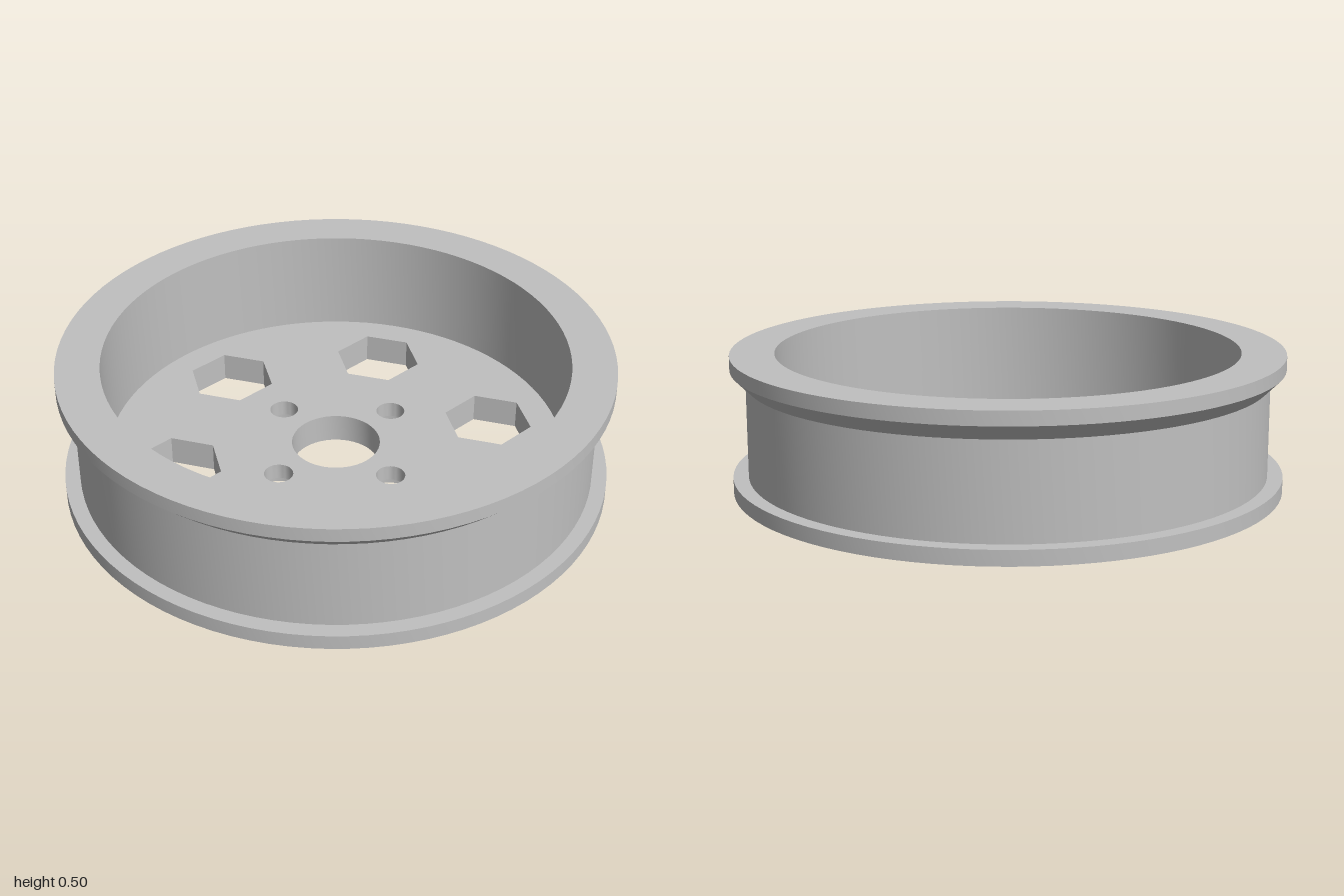
import * as THREE from 'three';
import { toCreasedNormals } from 'three/addons/utils/BufferGeometryUtils.js';

const FLOOR = 0.11;    // thickness of the web
const RECESS = 0.05;   // depth of the bolt counterbores
const SEGMENTS = 96;

export function createModel() {
  const wheel = new THREE.Group();
  wheel.name = 'wheel';
  const metal = new THREE.MeshStandardMaterial({ color: 0xc0c0c0 });
  metal.name = 'grey metal';

  const add = (name, geometry, x = 0, z = 0) => {
    const mesh = new THREE.Mesh(geometry, metal);
    mesh.name = name;
    mesh.position.set(x, 0, z);
    wheel.add(mesh);
  };

  // Revolved surface with crisp profile edges
  const revolve = (profile, segments, start = 0) => toCreasedNormals(
    new THREE.LatheGeometry(profile.map(p => new THREE.Vector2(...p)), segments, start), 0.5);

  // Points of a regular polygon, the first one on the x axis
  const ring = (radius, sides, cx = 0, cy = 0) => Array.from({ length: sides }, (_, i) => {
    const a = (i / sides) * Math.PI * 2;
    return new THREE.Vector2(cx + radius * Math.cos(a), cy + radius * Math.sin(a));
  });

  // Hole layout: central bore, four bolts, six hexagons
  const holes = [{
    name: 'centreBore', x: 0, z: 0, sides: 48, top: 0.163, bottom: 0.163,
    profile: [[0.163, FLOOR], [0.163, 0]],
  }];
  for (let i = 0; i < 4; i++) {
    const a = (i * Math.PI) / 2;
    holes.push({
      name: 'boltHole', x: 0.286 * Math.cos(a), z: 0.286 * Math.sin(a), sides: 32, top: 0.053, bottom: 0.1,
      profile: [[0.053, FLOOR], [0.053, RECESS], [0.1, RECESS], [0.1, 0]],
    });
  }
  for (let i = 0; i < 6; i++) {
    const a = Math.PI / 6 + (i * Math.PI) / 3;
    holes.push({
      name: 'hexagonHole', x: 0.59 * Math.cos(a), z: 0.59 * Math.sin(a), sides: 6, top: 0.164, bottom: 0.164,
      profile: [[0.164, FLOOR], [0.164, 0]],
    });
  }

  // Outer rim: bottom flange, drum, flared top flange and inner wall
  add('rim', revolve([
    [1, 0], [1, 0.055], [0.945, 0.055], [0.945, 0.395],
    [1, 0.45], [1, 0.5], [0.84, 0.5], [0.84, FLOOR],
  ], SEGMENTS));

  // Pierced faces of the web
  const face = (radius, side) => {
    const shape = new THREE.Shape(ring(radius, SEGMENTS));
    for (const h of holes) shape.holes.push(new THREE.Path(ring(h[side], h.sides, h.x, h.z)));
    return new THREE.ShapeGeometry(shape);
  };
  add('webTop', face(0.84, 'top').rotateX(-Math.PI / 2).translate(0, FLOOR, 0));
  add('webUnderside', face(1, 'bottom').rotateX(Math.PI / 2));

  // Walls of the holes, profiles run downward so they face inward
  for (const h of holes) add(h.name, revolve(h.profile, h.sides, Math.PI / 2), h.x, h.z);

  return wheel;
}
